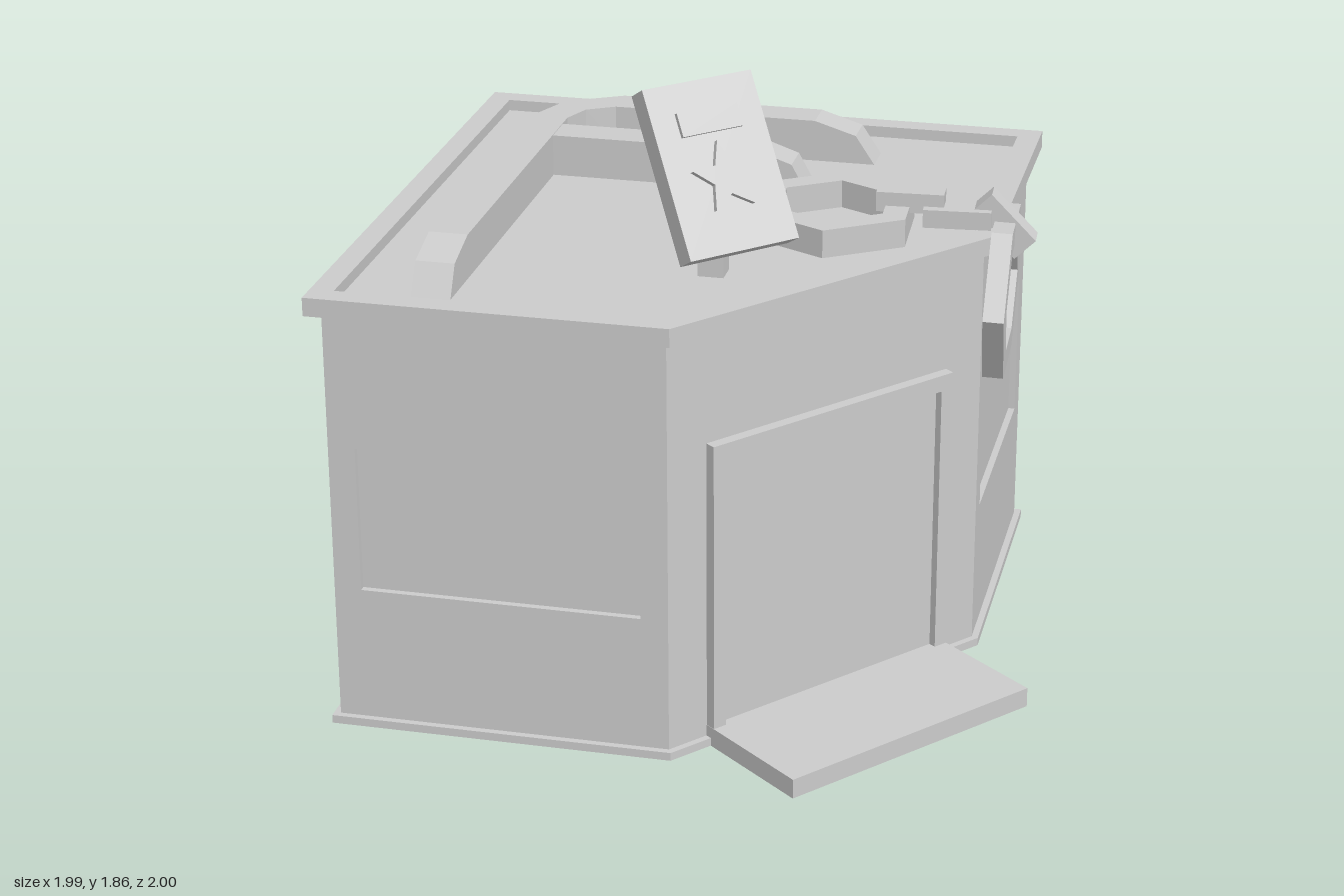
import * as THREE from 'three';

const material = new THREE.MeshStandardMaterial({ color: 0xcccccc, flatShading: true, side: THREE.DoubleSide });
const WALL_TOP = 1.29, RIM_TOP = 1.345, ROOF = 1.31, SKIN = 0.02;

function add(parent, name, geometry, x = 0, y = 0, z = 0) {
  const mesh = new THREE.Mesh(geometry, material);
  mesh.name = name;
  mesh.position.set(x, y, z);
  parent.add(mesh);
  return mesh;
}

const box = (w, h, d) => new THREE.BoxGeometry(w, h, d);
const extrude = (shape, depth) => new THREE.ExtrudeGeometry(shape, { depth, bevelEnabled: false });

function rect(x0, y0, x1, y1) {
  return [[x0, y0], [x1, y0], [x1, y1], [x0, y1]].map(p => new THREE.Vector2(...p));
}

// Square plan with one corner cut off, grown outwards by d; points are (x, z)
function footprint(d) {
  return [
    [-0.96 - d, 0.85 + d], [0.03 + 0.467 * d, 0.85 + d], [0.77 + d, -0.04 + 0.36 * d],
    [0.77 + d, -0.96 - d], [-0.96 - d, -0.96 - d],
  ].map(p => new THREE.Vector2(...p));
}

// Ring that follows the plan, between two outlines
function planRing(outer, inner, height) {
  const shape = new THREE.Shape(footprint(outer));
  shape.holes.push(new THREE.Path(footprint(inner)));
  return extrude(shape, height).rotateX(Math.PI / 2);
}

function hexRing(outer, inner, depth) {
  const corners = r => Array.from({ length: 6 }, (_, i) =>
    new THREE.Vector2(r * Math.cos(i * Math.PI / 3), r * Math.sin(i * Math.PI / 3)));
  const shape = new THREE.Shape(corners(outer));
  shape.holes.push(new THREE.Path(corners(inner)));
  return extrude(shape, depth).translate(0, 0, -depth / 2);
}

function star(outer, inner) {
  const points = Array.from({ length: 10 }, (_, i) => {
    const r = i % 2 ? inner : outer, a = Math.PI / 2 + i * Math.PI / 5;
    return new THREE.Vector2(r * Math.cos(a), r * Math.sin(a));
  });
  return new THREE.Shape(points);
}

// Rectangular bar on the roof; stations are [xOuter, zOuter, xInner, zInner, top]
function duct(stations) {
  const position = [], index = [];
  stations.forEach(([xo, zo, xi, zi, top], i) => {
    position.push(xo, ROOF, zo, xo, top, zo, xi, top, zi, xi, ROOF, zi);
    if (i === 0) return;
    for (let k = 0; k < 4; k++) {
      const a = (i - 1) * 4 + k, b = (i - 1) * 4 + (k + 1) % 4;
      index.push(a, a + 4, b, b, a + 4, b + 4);
    }
  });
  const geometry = new THREE.BufferGeometry();
  geometry.setAttribute('position', new THREE.Float32BufferAttribute(position, 3));
  geometry.setIndex(index);
  geometry.computeVertexNormals();
  return geometry;
}

function buildWalls(parent) {
  const names = ['frontWall', 'entranceWall', 'rightWall', 'backWall', 'leftWall'];
  const windows = { frontWall: [0.08, 0.91], rightWall: [0.08, 0.83] };
  const corners = footprint(0);
  names.forEach((name, i) => {
    const a = corners[i], b = corners[(i + 1) % 5];
    const length = a.distanceTo(b);
    const wall = new THREE.Group();
    wall.name = name;
    wall.position.set(a.x, 0, a.y);
    wall.rotation.y = Math.atan2(a.y - b.y, b.x - a.x);
    parent.add(wall);

    const shape = new THREE.Shape(rect(0, 0, length, WALL_TOP));
    const span = windows[name];
    if (span) {
      shape.holes.push(new THREE.Path(rect(span[0], 0.435, span[1], 0.88)));
      add(wall, 'windowPane', new THREE.ShapeGeometry(new THREE.Shape(rect(span[0], 0.435, span[1], 0.88))), 0, 0, -SKIN);
    }
    add(wall, 'wallPanel', extrude(shape, SKIN), 0, 0, -SKIN);
    if (name === 'entranceWall') buildEntrance(wall, length / 2);
  });
}

function buildEntrance(wall, middle) {
  // Frame is an upside-down U around the door
  const frame = new THREE.Shape([
    [-0.442, 0.06], [-0.398, 0.06], [-0.398, 0.9], [0.398, 0.9],
    [0.398, 0.06], [0.442, 0.06], [0.442, 0.95], [-0.442, 0.95],
  ].map(p => new THREE.Vector2(...p)));
  add(wall, 'doorFrame', extrude(frame, 0.034), middle, 0, 0);
  add(wall, 'door', box(0.796, 0.84, 0.01), middle, 0.48, 0.005);
  // Step is hollow underneath: drop the bottom face of the box
  const step = box(0.886, 0.06, 0.4);
  const index = Array.from(step.index.array);
  index.splice(18, 6);
  step.setIndex(index);
  add(wall, 'doorStep', step, middle, 0.03, 0.2);
}

function buildRoof(parent) {
  add(parent, 'plinth', planRing(0.02, 0, 0.025), 0, 0.025, 0);
  add(parent, 'roofRim', planRing(0.04, -0.03, RIM_TOP - WALL_TOP), 0, RIM_TOP, 0);
  const deck = new THREE.ShapeGeometry(new THREE.Shape(footprint(-0.028).reverse()));
  add(parent, 'roofDeck', deck.rotateX(Math.PI / 2).scale(1, 1, 1), 0, ROOF, 0);

  // Long bent duct with sloping ends, a branch and a short stub
  add(parent, 'bentDuct', duct([
    [0.33, -0.775, 0.33, -0.66, ROOF], [0.27, -0.775, 0.27, -0.66, 1.4], [0.14, -0.775, 0.14, -0.66, 1.44],
    [-0.5, -0.775, -0.5, -0.66, 1.44], [-0.67, -0.68, -0.585, -0.61, 1.44], [-0.735, -0.52, -0.62, -0.52, 1.44],
    [-0.735, 0.55, -0.62, 0.55, 1.44], [-0.735, 0.68, -0.62, 0.68, 1.4], [-0.735, 0.73, -0.62, 0.73, ROOF],
  ]));
  const straight = (x, top) => [x, -0.465, x, -0.35, top];
  add(parent, 'branchDuct', duct([
    straight(0.18, ROOF), straight(0.13, 1.4), straight(0.02, 1.438), straight(-0.65, 1.438),
  ]));
  add(parent, 'ductStub', duct([straight(-0.7, 1.4), straight(-0.735, 1.4), straight(-0.79, ROOF)]));
}

function buildSign(parent) {
  add(parent, 'signPost', box(0.075, 0.29, 0.075), 0.05, ROOF + 0.145, 0.36);
  const sign = new THREE.Group();
  sign.name = 'sign';
  sign.position.set(0.058, 1.63, 0.365);
  sign.rotation.set(-0.54, Math.PI / 4, 0, 'YXZ');
  parent.add(sign);
  add(sign, 'signBoard', box(0.36, 0.5, 0.066));
  add(sign, 'signPlate', box(0.2, 0.07, 0.02), 0, 0.13, 0.035);
  add(sign, 'signStar', extrude(star(0.108, 0.048), 0.018), 0, -0.04, 0.031);
}

function buildCuffs(parent) {
  const cuffs = new THREE.Group();
  cuffs.name = 'cuffs';
  parent.add(cuffs);
  const flat = add(cuffs, 'lyingCuff', hexRing(0.26, 0.178, 0.085), 0.315, 1.353, -0.08);
  flat.rotation.set(Math.PI / 2, 0, Math.PI / 6 - 0.06);
  const hanging = add(cuffs, 'hangingCuff', hexRing(0.263, 0.178, 0.062), 0.814, 1.137, -0.125);
  hanging.rotation.set(0.03, Math.PI / 2 + 0.05, 0, 'YXZ');

  // Chain: two flat links and one tipping over the roof edge
  add(cuffs, 'chainLinkA', box(0.2, 0.06, 0.065), 0.54, 1.407, -0.105).rotation.y = 0.06;
  add(cuffs, 'chainLinkB', box(0.2, 0.055, 0.125), 0.68, 1.372, -0.115).rotation.y = 0.08;
  add(cuffs, 'chainLinkC', box(0.19, 0.085, 0.075), 0.815, 1.35, -0.125).rotation.set(0, 0.06, -0.8);
}

export function createModel() {
  const model = new THREE.Group();
  model.name = 'cornerBuilding';
  buildWalls(model);
  buildRoof(model);
  buildSign(model);
  buildCuffs(model);
  return model;
}
